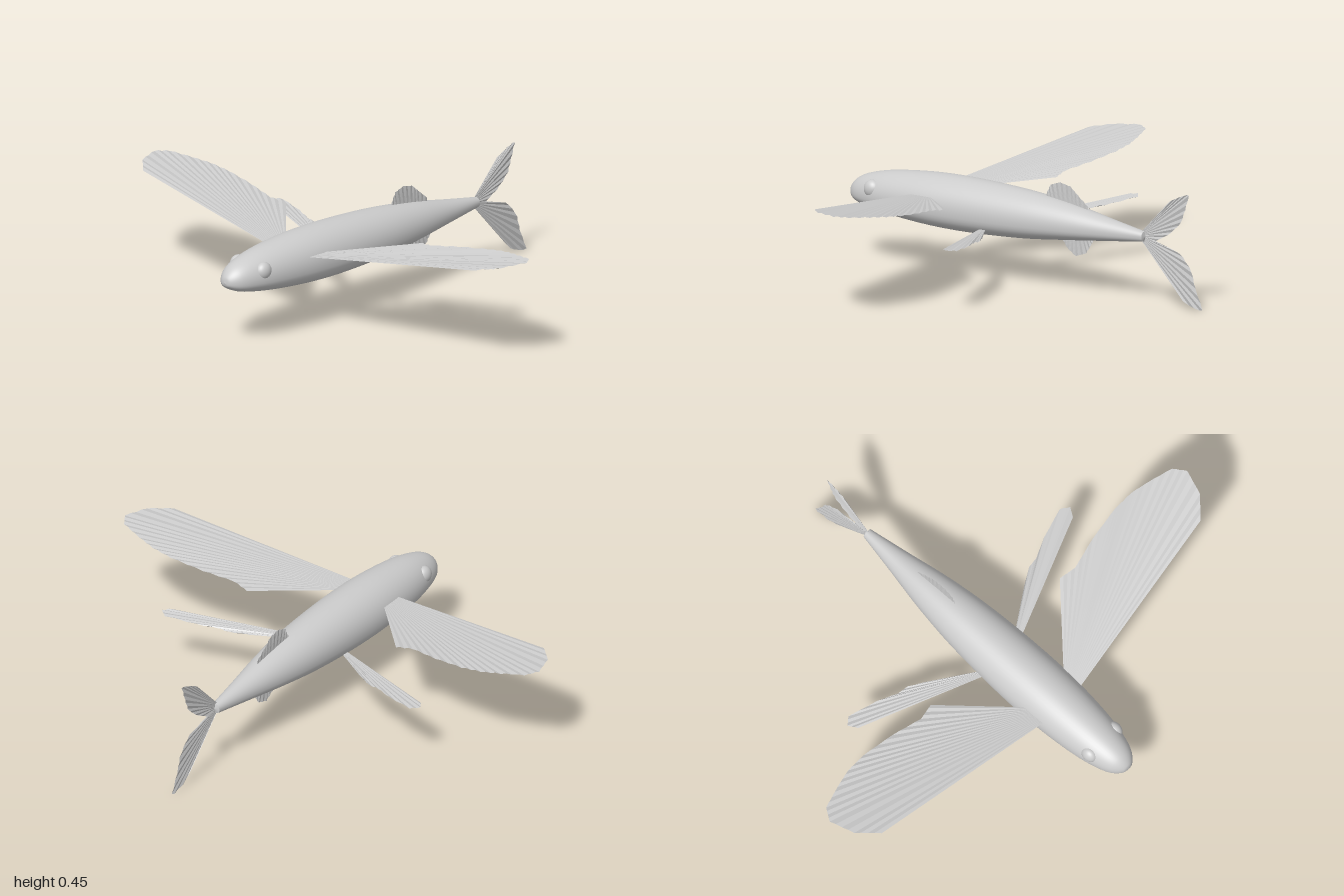
import * as THREE from 'three';

const AXIS_Y = 0.265;
const grey = new THREE.MeshStandardMaterial({ color: 0xcccccc });
const finGrey = new THREE.MeshStandardMaterial({ color: 0xcccccc, side: THREE.DoubleSide, flatShading: true });

function gridGeometry(positions, rows, cols) {
  const index = [];
  for (let r = 0; r < rows - 1; r++) {
    for (let c = 0; c < cols - 1; c++) {
      const a = r * cols + c, b = a + cols;
      index.push(a, b, a + 1, b, b + 1, a + 1);
    }
  }
  const geo = new THREE.BufferGeometry();
  geo.setAttribute('position', new THREE.Float32BufferAttribute(positions, 3));
  geo.setIndex(index);
  return geo;
}

// Body: loops along x, round above the axis and flatter below it
function bodyGeometry() {
  // x, height above axis (also the half width), depth below axis
  const stations = [
    [-0.845, 0, 0], [-0.838, 0.025, 0.016], [-0.8, 0.06, 0.038], [-0.7, 0.092, 0.058],
    [-0.5, 0.116, 0.079], [-0.3, 0.121, 0.087], [0, 0.107, 0.077], [0.2, 0.083, 0.058],
    [0.4, 0.047, 0.037], [0.555, 0.02, 0.02],
  ].map((p) => new THREE.Vector3(...p));
  const curve = new THREE.CatmullRomCurve3(stations, false, 'centripetal');
  const rows = 81, sides = 48, pos = [];
  const ring = (x, up, down) => {
    for (let j = 0; j <= sides; j++) {
      const a = (j % sides) / sides * Math.PI * 2;
      const c = Math.cos(a), s = Math.sin(a);
      const power = s < 0 ? 0.8 : 1;
      const z = up * Math.sign(c) * Math.abs(c) ** power;
      const y = s < 0 ? -down * Math.abs(s) ** power : up * s;
      pos.push(x, AXIS_Y + y, z);
    }
  };
  for (let i = 0; i < rows; i++) {
    const p = curve.getPoint((i / (rows - 1)) ** 1.2);
    ring(p.x, Math.max(p.y, 0), Math.max(p.z, 0));
  }
  ring(0.555, 0.02, 0.02); // closed tail stump
  ring(0.56, 0, 0);
  const geo = gridGeometry(pos, rows + 2, sides + 1);
  geo.computeVertexNormals();
  // Match the normals along the seam
  const n = geo.attributes.normal;
  const v = new THREE.Vector3(), w = new THREE.Vector3();
  for (let r = 0; r < rows + 2; r++) {
    const a = r * (sides + 1), b = a + sides;
    v.fromBufferAttribute(n, a).add(w.fromBufferAttribute(n, b)).normalize();
    n.setXYZ(a, v.x, v.y, v.z);
    n.setXYZ(b, v.x, v.y, v.z);
  }
  return geo;
}

// Fin: pleated fan from a short root line to an outer edge, both given as [u, v];
// place(u, v, ripple) puts each point in space
function fin(name, root, edge, rays, place) {
  const [a, b] = root.map((p) => new THREE.Vector2(...p));
  const pts = edge.map((p) => new THREE.Vector2(...p));
  const rows = 5, cols = rays * 2 + 1, pos = [];
  for (let r = 0; r < rows; r++) {
    const t = r / (rows - 1);
    for (let c = 0; c < cols; c++) {
      const s = c / (cols - 1), k = s * (pts.length - 1);
      const i = Math.min(Math.floor(k), pts.length - 2);
      const tip = pts[i].clone().lerp(pts[i + 1], k - i);
      const p = a.clone().lerp(b, s).lerp(tip, t);
      pos.push(...place(p.x, p.y, (c % 2 ? 1 : -1) * 0.0018 * t));
    }
  }
  const geo = gridGeometry(pos, rows, cols);
  geo.computeVertexNormals();
  const mesh = new THREE.Mesh(geo, finGrey);
  mesh.name = name;
  return mesh;
}

export function createModel() {
  const model = new THREE.Group();
  model.name = 'flyingFish';

  const body = new THREE.Mesh(bodyGeometry(), grey);
  body.name = 'body';
  model.add(body);

  for (const side of [1, -1]) {
    const label = side > 0 ? 'front' : 'back';

    // Bulging eyes
    const eye = new THREE.Mesh(new THREE.SphereGeometry(0.036, 32, 20), grey);
    eye.name = label + 'Eye';
    eye.position.set(-0.7, 0.297, side * 0.068);
    eye.scale.z = 0.8;
    model.add(eye);

    // Large wing-like fins
    model.add(fin(label + 'WingFin', [[-0.49, 0.08], [-0.42, 0.08]], [
      [-0.375, 0.89], [-0.30, 0.965], [-0.2, 0.998], [-0.15, 0.965], [-0.12, 0.87], [-0.10, 0.79],
      [-0.097, 0.7], [-0.115, 0.56], [-0.145, 0.43], [-0.13, 0.36],
    ], 18, (x, z, d) => [x, 0.312 + (z - 0.11) * 0.127 + d, side * z]));

    // Small belly fins
    model.add(fin(label + 'BellyFin', [[-0.175, 0.07], [-0.155, 0.07]], [
      [0.03, 0.6], [0.065, 0.622], [0.09, 0.59], [0.055, 0.465], [0.02, 0.385], [0.015, 0.34], [-0.025, 0.27],
    ], 9, (x, z, d) => [x, 0.216 + (z - 0.11) * 0.078 + d, side * z]));
  }

  // Upright fins on the centre plane
  const upright = (x, y, d) => [x, y, d];
  model.add(fin('dorsalFin', [[0.085, 0.34], [0.28, 0.32]], [
    [0.085, 0.372], [0.105, 0.41], [0.15, 0.425], [0.2, 0.415], [0.235, 0.385], [0.285, 0.345],
  ], 10, upright));
  model.add(fin('analFin', [[0.16, 0.23], [0.31, 0.24]], [
    [0.16, 0.205], [0.185, 0.17], [0.225, 0.143], [0.275, 0.16], [0.3, 0.197], [0.315, 0.222],
  ], 10, upright));
  model.add(fin('upperTailLobe', [[0.535, 0.276], [0.535, 0.262]], [
    [0.675, 0.42], [0.72, 0.442], [0.772, 0.462], [0.75, 0.395], [0.73, 0.34], [0.675, 0.29], [0.605, 0.252],
  ], 10, upright));
  model.add(fin('lowerTailLobe', [[0.535, 0.268], [0.535, 0.254]], [
    [0.605, 0.256], [0.73, 0.22], [0.78, 0.16], [0.8, 0.09], [0.838, 0.002], [0.75, 0.025], [0.675, 0.105],
  ], 10, upright));

  return model;
}
